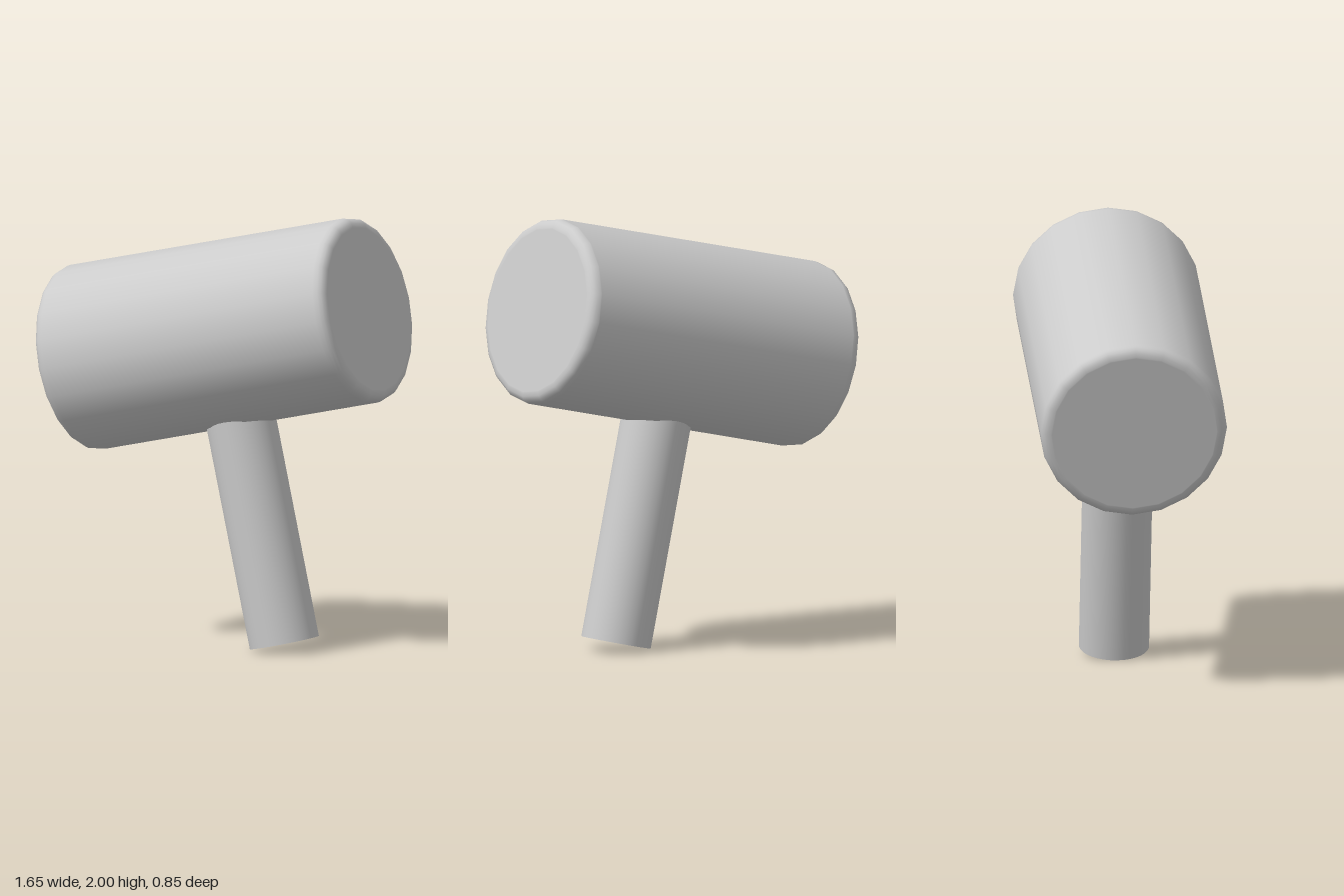
import * as THREE from 'three';

const TILT = THREE.MathUtils.degToRad(12.5);

// Profile of a cylinder with rounded rims, from bottom centre to top centre
function roundedProfile(radius, half, bevel, steps) {
  const upper = [new THREE.Vector2(radius, half - bevel - 0.005)];
  for (let i = 0; i <= steps; i++) {
    const a = (i / steps) * Math.PI / 2;
    upper.push(new THREE.Vector2(
      radius - bevel + bevel * Math.cos(a),
      half - bevel + bevel * Math.sin(a)));
  }
  // Support ring keeps the flat face flat
  upper.push(new THREE.Vector2(radius - bevel - 0.005, half), new THREE.Vector2(0, half));
  const lower = upper.map(p => new THREE.Vector2(p.x, -p.y)).reverse();
  return [...lower, ...upper];
}

export function createModel() {
  const material = new THREE.MeshStandardMaterial({ color: 0xcccccc });
  const model = new THREE.Group();
  model.name = 'mallet';

  // Head: 20-sided drum lying along x
  const head = new THREE.Mesh(
    new THREE.LatheGeometry(roundedProfile(0.425, 0.76, 0.045, 4), 20), material);
  head.name = 'head';
  head.rotation.z = -Math.PI / 2;

  // Handle: plain cylinder running up into the head
  const bottom = -1.428, top = -0.1;
  const handle = new THREE.Mesh(
    new THREE.CylinderGeometry(0.16, 0.16, top - bottom, 32), material);
  handle.name = 'handle';
  handle.position.y = (top + bottom) / 2;

  // Whole mallet leans about the centre of the head
  model.add(head, handle);
  model.rotation.z = TILT;
  model.position.y = 1.433;
  return model;
}
